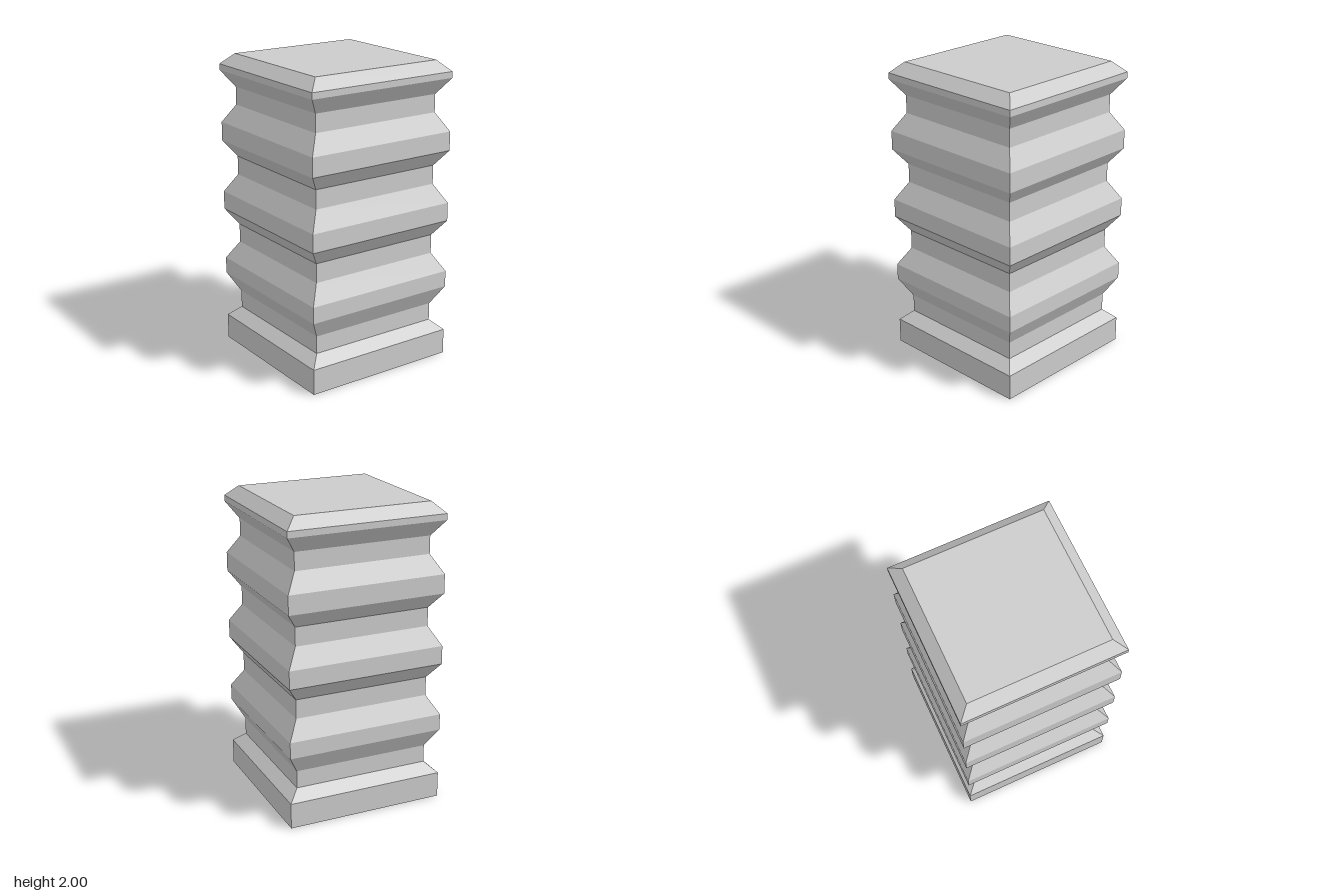
import * as THREE from 'three';

const OUT = 0.529; // half width of the ridges
const IN = 0.457;  // half width of the grooves

// Square section swept up a profile of [half width, height] points
function squareLathe(name, profile, material) {
  const points = profile.map(([half, y]) => new THREE.Vector2(half * Math.SQRT2, y));
  const geometry = new THREE.LatheGeometry(points, 4, Math.PI / 4).toNonIndexed();
  geometry.computeVertexNormals();
  const mesh = new THREE.Mesh(geometry, material);
  mesh.name = name;
  return mesh;
}

export function createModel() {
  const group = new THREE.Group();
  group.name = 'ridgedPillar';
  const material = new THREE.MeshStandardMaterial({ color: 0xcccccc, flatShading: true });

  // Plinth with a bevelled upper edge
  group.add(squareLathe('base', [[0, 0], [OUT, 0], [OUT, 0.17], [IN, 0.237]], material));

  // Shaft: each ridge is given by groove top, ridge bottom, ridge top, next groove bottom
  const ridges = [
    [0.354, 0.483, 0.592, 0.714],
    [0.841, 0.944, 1.066, 1.19],
    [1.315, 1.417, 1.543, 1.664],
  ];
  const shaft = [[IN, 0.237]];
  for (const [a, b, c, d] of ridges) shaft.push([IN, a], [OUT, b], [OUT, c], [IN, d]);
  shaft.push([IN, 1.782]);
  group.add(squareLathe('ridgedShaft', shaft, material));

  // Capital with a thin rim and bevelled top
  const rim = 0.531;
  group.add(squareLathe('cap', [[IN, 1.782], [rim, 1.888], [rim, 1.929], [IN, 2], [0, 2]], material));

  return group;
}
